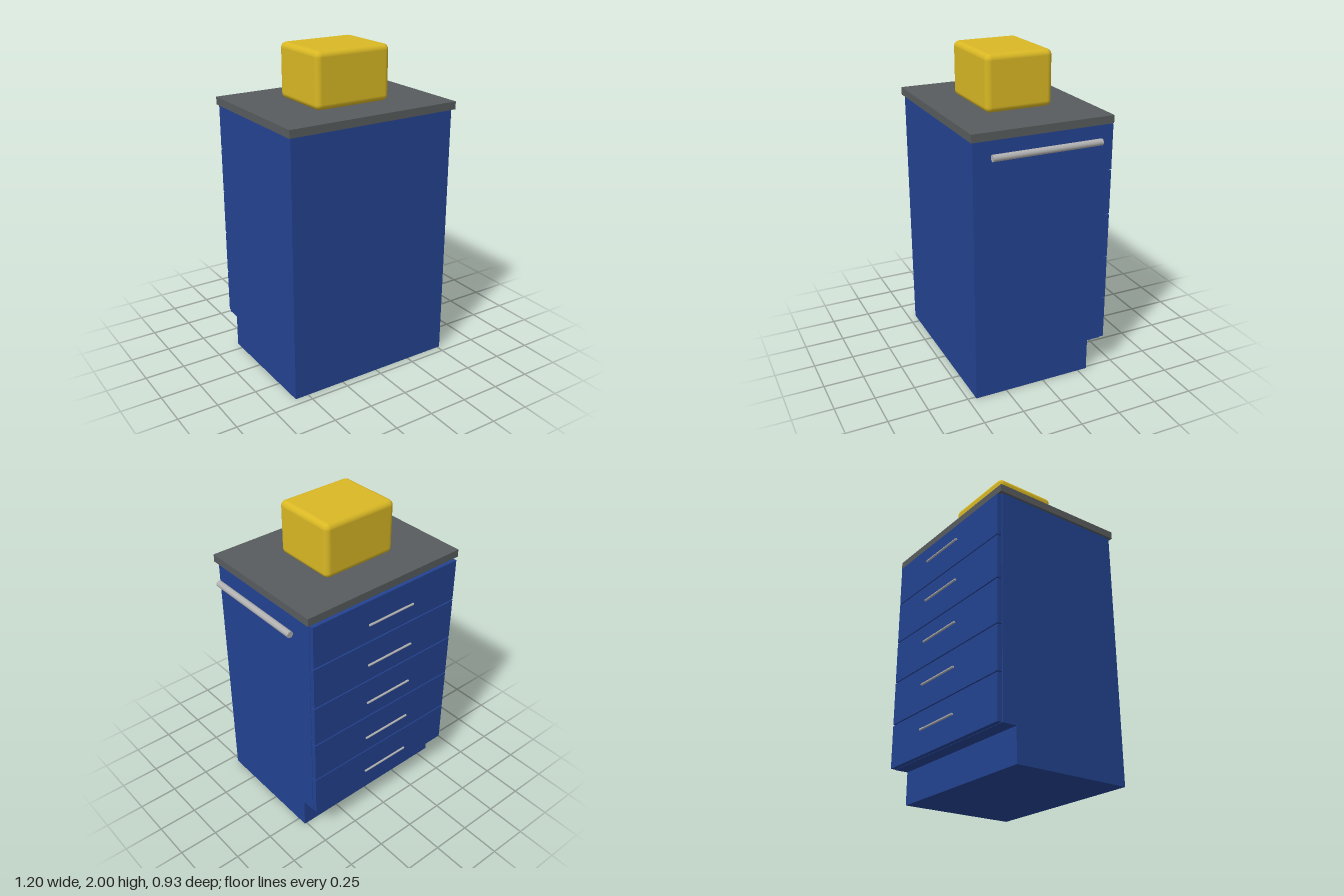
import * as THREE from 'three';
import { RoundedBoxGeometry } from 'three/addons/geometries/RoundedBoxGeometry.js';

const paint = (name, color) => Object.assign(new THREE.MeshStandardMaterial({ color }), { name });

export function createModel() {
  const blue = paint('cabinet blue', 0x234391);
  const grey = paint('worktop grey', 0x585c5e);
  const yellow = paint('box yellow', 0xd9b824);
  const metal = paint('handle metal', 0xb0b0b0);
  const model = new THREE.Group();
  model.name = 'drawerCabinet';

  function add(name, geometry, material, x, y, z) {
    const mesh = new THREE.Mesh(geometry, material);
    mesh.name = name;
    mesh.position.set(x, y, z);
    model.add(mesh);
    return mesh;
  }
  // Box given by its minimum and maximum corners
  function block(name, material, [x0, y0, z0], [x1, y1, z1]) {
    return add(name, new THREE.BoxGeometry(x1 - x0, y1 - y0, z1 - z0), material,
      (x0 + x1) / 2, (y0 + y1) / 2, (z0 + z1) / 2);
  }

  // Carcass with a recessed toe space, extruded sideways from its side profile
  const profile = new THREE.Shape([
    [-0.45, 0], [0.31, 0], [0.31, 0.205], [0.398, 0.205], [0.398, 1.615], [-0.45, 1.615],
  ].map(([u, y]) => new THREE.Vector2(u, y)));
  const carcass = new THREE.ExtrudeGeometry(profile, { depth: 1.1, bevelEnabled: false });
  carcass.rotateY(Math.PI / 2);
  add('carcass', carcass, blue, -0.585, 0, 0);

  // Five drawer fronts, each with a slim bar handle
  const pitch = 0.281;
  for (let i = 0; i < 5; i++) {
    const y = 0.207 + i * pitch;
    block('drawerFront', blue, [-0.578, y, -0.428], [0.512, y + pitch - 0.008, -0.398]);
    add('drawerHandle', new THREE.CylinderGeometry(0.007, 0.007, 0.337, 16), metal,
      -0.033, y + 0.14, -0.46).rotation.z = Math.PI / 2;
  }

  // Worktop and the rounded box standing on it
  block('worktop', grey, [-0.6, 1.615, -0.417], [0.535, 1.663, 0.465]);
  add('roundedBox', new RoundedBoxGeometry(0.504, 0.337, 0.422, 4, 0.035), yellow, -0.033, 1.8315, 0.022);

  // Towel rail along one side
  add('towelRail', new THREE.CylinderGeometry(0.02, 0.02, 0.677, 32), metal,
    0.577, 1.53, 0.023).rotation.x = Math.PI / 2;

  return model;
}
